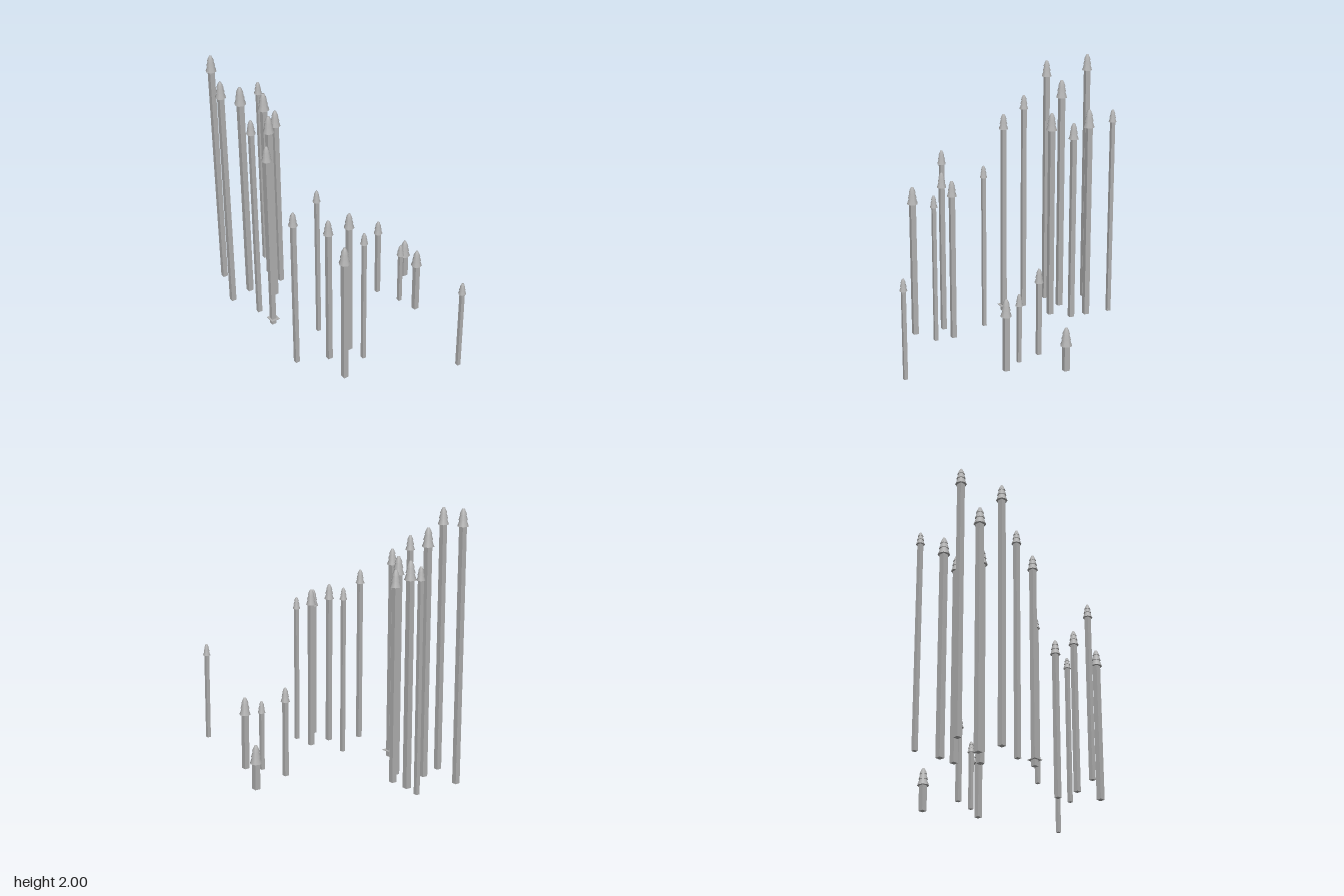
import * as THREE from 'three';

// x, z, top height, crown radius
const TREES = [
  [-0.555, -0.935, 2.0, 0.04], [-0.168, -0.95, 1.65, 0.031],
  [-0.224, -0.78, 1.655, 0.044], [-0.474, -0.675, 1.84, 0.044],
  [-0.65, -0.635, 1.96, 0.04], [-0.21, -0.643, 1.57, 0.04],
  [-0.337, -0.523, 1.63, 0.043], [-0.555, -0.395, 1.735, 0.035],
  [-0.54, -0.217, 1.61, 0.038], [0.336, -0.088, 0.685, 0.034],
  [0.642, -0.153, 0.335, 0.044], [0.409, 0.105, 0.55, 0.029],
  [0.466, 0.235, 0.555, 0.042], [-0.305, 0.057, 1.3, 0.029],
  [-0.627, 0.258, 1.36, 0.034], [-0.402, 0.353, 1.26, 0.037],
  [-0.224, 0.347, 1.245, 0.038], [-0.201, 0.5, 1.16, 0.029],
  [-0.418, 0.58, 1.175, 0.042], [0.33, 0.95, 0.78, 0.029],
];

// crown tier profiles, radius and height as fractions, bottom to top
const TIERS = [
  [[1, 0], [0.8, 0.18], [0.58, 0.39]],
  [[0.8, 0.35], [0.64, 0.52], [0.46, 0.69]],
  [[0.64, 0.65], [0.48, 0.8], [0.22, 0.975], [0, 1]],
];

export function createModel() {
  const grey = new THREE.MeshStandardMaterial({ color: 0xb0b0b0 });
  grey.name = 'grey';
  const model = new THREE.Group();
  model.name = 'treeGrove';

  const add = (parent, name, geometry, y = 0) => {
    const mesh = new THREE.Mesh(geometry, grey);
    mesh.name = name;
    mesh.position.y = y;
    parent.add(mesh);
    return mesh;
  };
  const lathe = (pts) =>
    new THREE.LatheGeometry(pts.map(([r, y]) => new THREE.Vector2(r, y)), 8);

  // tier sides and undersides shared by all trees
  const sides = TIERS.map(lathe);
  const undersides = TIERS.map(([[r, y]]) => lathe([[0, y], [r, y]]));

  TREES.forEach(([x, z, top, r]) => {
    const tree = new THREE.Group();
    tree.name = 'tree';
    tree.position.set(x, 0, z);

    // square trunk
    const height = 3.1 * r;
    const bottom = 0.005 + (0.044 - r) * 1.35;
    const length = top - height + 0.01 - bottom;
    add(tree, 'trunk', new THREE.BoxGeometry(0.95 * r, length, 0.95 * r), bottom + length / 2);

    // three-tiered crown
    const crown = new THREE.Group();
    crown.name = 'crown';
    crown.position.y = top - height;
    crown.scale.set(r, height, r);
    sides.forEach((g) => add(crown, 'crownTier', g));
    undersides.forEach((g) => add(crown, 'crownUnderside', g));
    tree.add(crown);
    model.add(tree);
  });

  // thin square plate low on one trunk
  const plate = add(model, 'plate', new THREE.BoxGeometry(0.07, 0.004, 0.07), 0.06);
  plate.position.x = -0.538;
  plate.position.z = -0.215;

  return model;
}
